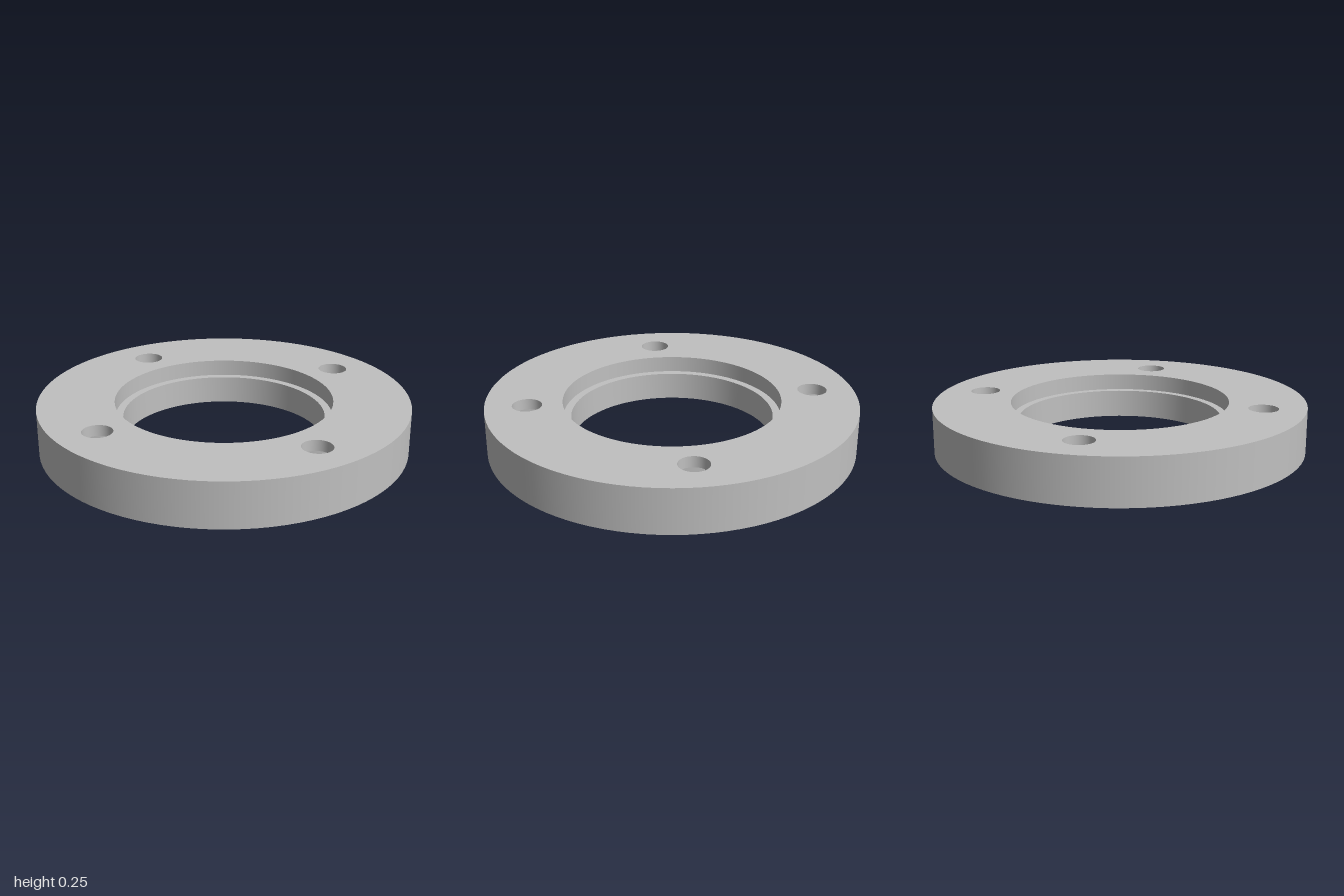
import * as THREE from 'three';

const HEIGHT = 0.245, OUTER = 1, BORE = 0.545;
const RECESS = 0.587, RECESS_Y = 0.155;              // stepped recess around the bore
const BOLT_CIRCLE = 0.775, BOLT = 0.08;              // four bolt holes
const NUT = 0.148, NUT_TOP = 0.185;                  // hexagonal nut pockets underneath
const ROUND = 96, SMALL = 40;

// Regular polygon, first corner on the z axis so it lines up with the lathed walls
function polygon(r, n, cx = 0, cy = 0) {
  return Array.from({ length: n }, (_, i) => {
    const a = (i / n) * Math.PI * 2;
    return new THREE.Vector2(cx + r * Math.sin(a), cy + r * Math.cos(a));
  });
}

// Flat horizontal face with holes, looking up or down
function plate(outline, holes, y, up) {
  const shape = new THREE.Shape(outline);
  holes.forEach((h) => shape.holes.push(new THREE.Path(h)));
  const geo = new THREE.ShapeGeometry(shape);
  geo.rotateX(up ? -Math.PI / 2 : Math.PI / 2);
  return geo.translate(0, y, 0);
}

// Surface swept round y from one profile point to the next:
// rising points face outward, falling points face inward
function wall(from, to, sides) {
  return new THREE.LatheGeometry([new THREE.Vector2(...from), new THREE.Vector2(...to)], sides);
}

export function createModel() {
  const model = new THREE.Group();
  model.name = 'flangeRing';
  const grey = new THREE.MeshStandardMaterial({ color: 0xc0c0c0 });
  grey.name = 'grey';

  const add = (parent, name, geo) => {
    const mesh = new THREE.Mesh(geo, grey);
    mesh.name = name;
    parent.add(mesh);
  };

  const centres = [[1, 0], [0, 1], [-1, 0], [0, -1]].map(([x, z]) => [x * BOLT_CIRCLE, z * BOLT_CIRCLE]);
  const holesAt = (r, n) => centres.map(([x, z]) => polygon(r, n, x, z));

  // Ring body
  add(model, 'outerRim', wall([OUTER, 0], [OUTER, HEIGHT], ROUND));
  add(model, 'topFace', plate(polygon(OUTER, ROUND), [polygon(RECESS, ROUND), ...holesAt(BOLT, SMALL)], HEIGHT, true));
  add(model, 'bottomFace', plate(polygon(OUTER, ROUND), [polygon(BORE, ROUND), ...holesAt(NUT, 6)], 0, false));

  // Stepped centre opening
  add(model, 'recessWall', wall([RECESS, HEIGHT], [RECESS, RECESS_Y], ROUND));
  add(model, 'recessLedge', wall([RECESS, RECESS_Y], [BORE, RECESS_Y], ROUND));
  add(model, 'boreWall', wall([BORE, RECESS_Y], [BORE, 0], ROUND));

  // Bolt holes opening into hexagonal nut pockets
  const boltWall = wall([BOLT, HEIGHT], [BOLT, NUT_TOP], SMALL);
  const pocketWall = wall([NUT, NUT_TOP], [NUT, 0], 6).toNonIndexed();
  pocketWall.computeVertexNormals();
  const pocketCeiling = plate(polygon(NUT, 6), [polygon(BOLT, SMALL)], NUT_TOP, false);
  centres.forEach(([x, z], i) => {
    const hole = new THREE.Group();
    hole.name = `boltHole${i + 1}`;
    hole.position.set(x, 0, z);
    add(hole, 'boltHoleWall', boltWall);
    add(hole, 'nutPocketWall', pocketWall);
    add(hole, 'nutPocketCeiling', pocketCeiling);
    model.add(hole);
  });

  return model;
}
